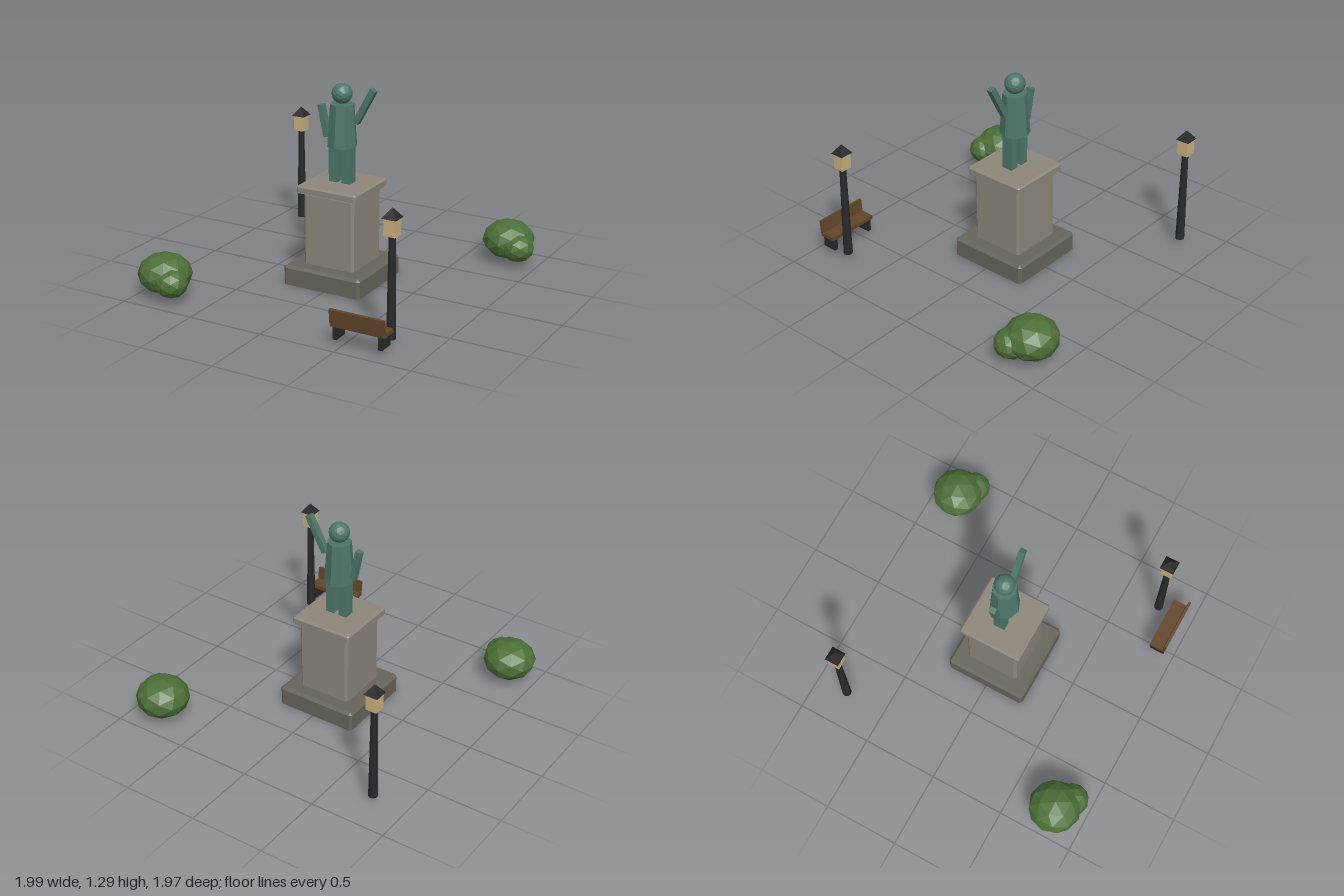
import * as THREE from 'three';

const paint = (name, color, extra = {}) => {
  const m = new THREE.MeshStandardMaterial({ color, flatShading: true, ...extra });
  m.name = name;
  return m;
};

export function createModel() {
  const model = new THREE.Group();
  model.name = 'parkMonument';

  const stone = paint('light stone', 0x8c867a, { side: THREE.DoubleSide });
  const darkStone = paint('dark stone', 0x67645a, { side: THREE.DoubleSide });
  const bronze = paint('weathered bronze', 0x4d766b);
  const iron = paint('black iron', 0x29292b);
  const glass = paint('lantern glass', 0xc8b07c);
  const wood = paint('bench wood', 0x614529);
  const leaf = paint('leaf green', 0x4c6f37);

  const add = (parent, name, geometry, material, x = 0, y = 0, z = 0) => {
    const mesh = new THREE.Mesh(geometry, material);
    mesh.name = name;
    mesh.position.set(x, y, z);
    parent.add(mesh);
    return mesh;
  };
  const group = (name, x, z) => {
    const g = new THREE.Group();
    g.name = name;
    g.position.set(x, 0, z);
    model.add(g);
    return g;
  };
  const box = (w, h, d) => new THREE.BoxGeometry(w, h, d);

  // Square block with chamfered corners and top rim, hollow underneath
  const chamferedBlock = (width, height, c) => {
    const ring = (h, inset, y) => {
      const s = h - inset;
      return [[h, s], [s, h], [-s, h], [-h, s], [-h, -s], [-s, -h], [s, -h], [h, -s]]
        .map(([x, z]) => [x, y, z]);
    };
    const h = width / 2;
    const rings = [ring(h, c, 0), ring(h, c, height - c), ring(h - c, 0, height)];
    const pos = [];
    for (let r = 0; r < 2; r++) {
      for (let i = 0; i < 8; i++) {
        const j = (i + 1) % 8;
        const a = rings[r][i], b = rings[r][j], d = rings[r + 1][i], e = rings[r + 1][j];
        pos.push(...a, ...d, ...b);
        if (r === 0 || i % 2) pos.push(...b, ...d, ...e);
      }
    }
    const top = rings[2];
    pos.push(...top[0], ...top[6], ...top[2], ...top[2], ...top[6], ...top[4]);
    const g = new THREE.BufferGeometry();
    g.setAttribute('position', new THREE.Float32BufferAttribute(pos, 3));
    g.computeVertexNormals();
    return g;
  };

  // Pedestal
  const monument = group('monument', -0.018, -0.007);
  add(monument, 'pedestalBase', chamferedBlock(0.55, 0.13, 0.018), darkStone);
  add(monument, 'pedestalColumn', chamferedBlock(0.36, 0.475, 0.016), stone, 0, 0.13, 0);
  add(monument, 'pedestalCap', chamferedBlock(0.424, 0.05, 0.012), stone, 0, 0.605, 0);

  // Statue
  for (const side of [-1, 1]) {
    add(monument, side > 0 ? 'leftLeg' : 'rightLeg', box(0.058, 0.24, 0.075), bronze, side * 0.047, 0.773, 0);
  }
  add(monument, 'torso', new THREE.CylinderGeometry(0.078, 0.097, 0.275, 8), bronze, 0, 1.028, 0);
  add(monument, 'head', new THREE.IcosahedronGeometry(0.066, 2), bronze, 0, 1.229, 0);
  add(monument, 'raisedArm', box(0.04, 0.256, 0.04), bronze, 0.163, 1.168, 0).rotation.z = -0.5;
  add(monument, 'loweredArm', box(0.038, 0.208, 0.04), bronze, -0.128, 1.038, 0).rotation.z = 0.2;

  // Street lamps
  for (const [x, z] of [[0.745, 0.757], [-0.785, -0.775]]) {
    const lamp = group('streetLamp', x, z);
    add(lamp, 'post', new THREE.CylinderGeometry(0.021, 0.03, 0.64, 8), iron, 0, 0.365, 0);
    add(lamp, 'lantern', box(0.075, 0.105, 0.075), glass, 0, 0.735, 0);
    const roof = new THREE.ConeGeometry(0.047 * Math.SQRT2, 0.063, 4);
    add(lamp, 'lanternRoof', roof.rotateY(Math.PI / 4), iron, 0, 0.819, 0);
  }

  // Bushes
  for (const [x, z] of [[-0.826, 0.8], [0.786, -0.815]]) {
    const bush = group('bush', x, z);
    add(bush, 'largeFoliage', new THREE.IcosahedronGeometry(0.173, 1), leaf, 0, 0.155, 0).scale.y = 0.75;
    add(bush, 'smallFoliage', new THREE.IcosahedronGeometry(0.106, 1), leaf, 0.1, 0.132, 0.075).scale.y = 0.88;
  }

  // Bench facing the monument
  const bench = group('bench', 0.62, 0.887);
  add(bench, 'seat', box(0.36, 0.024, 0.106), wood, 0, 0.138, 0);
  add(bench, 'backrest', box(0.36, 0.11, 0.018), wood, 0, 0.182, 0.05).rotation.x = 0.1;
  for (const side of [-1, 1]) {
    add(bench, 'benchLeg', box(0.026, 0.082, 0.098), iron, side * 0.15, 0.086, 0);
  }

  return model;
}
